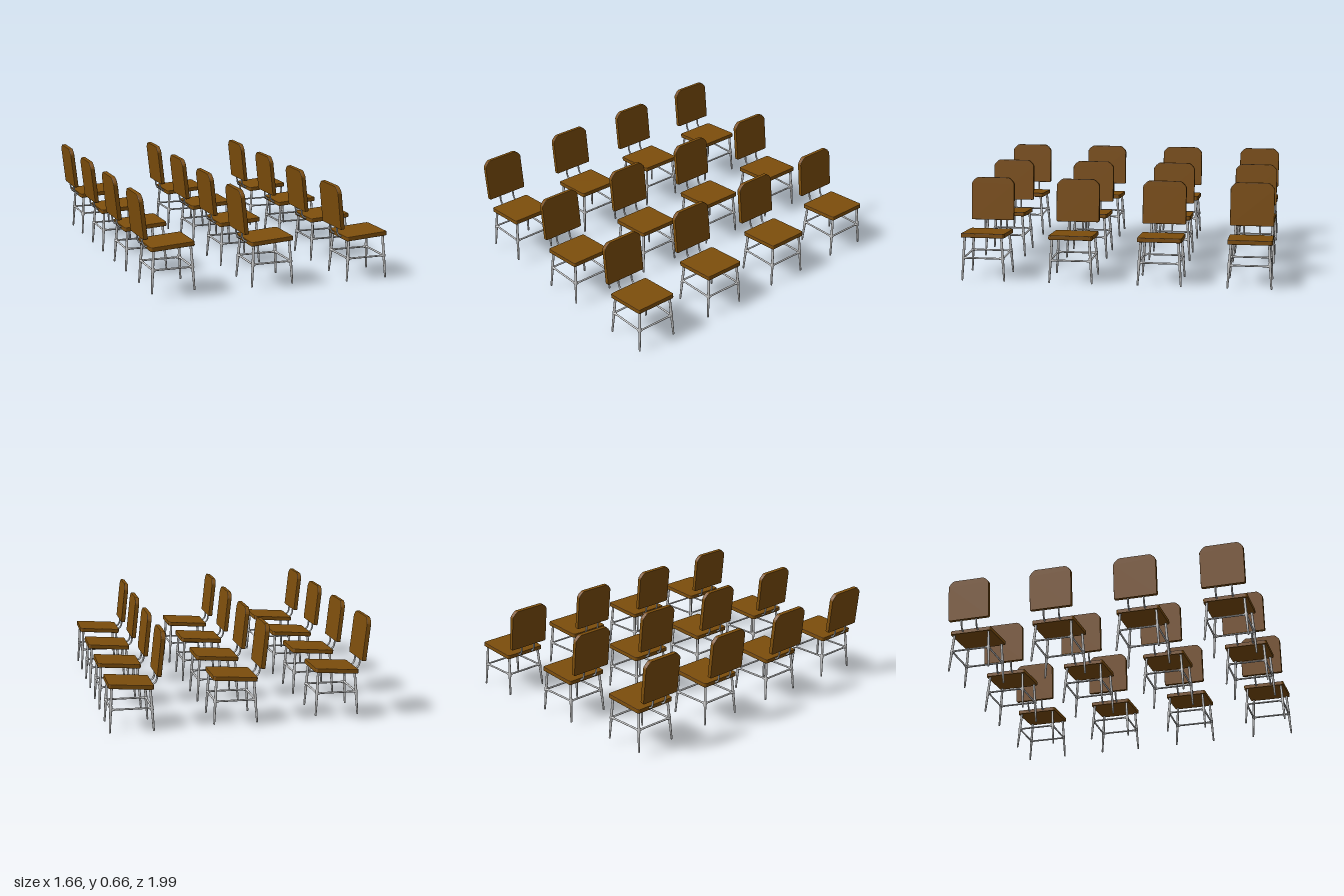
import * as THREE from 'three';

const wood = new THREE.MeshStandardMaterial({ color: 0x7d4e0c });
const metal = new THREE.MeshStandardMaterial({ color: 0xcccccc });

const THICK = 0.028, BEVEL = 0.004;

// Softly bevelled board; c = cut size of the lower and upper corners
function board(width, height, cLow, cHigh) {
  const w = width / 2 - BEVEL, h = height / 2 - BEVEL;
  const s = new THREE.Shape();
  s.moveTo(-w + cLow, -h);
  s.lineTo(w - cLow, -h);
  s.quadraticCurveTo(w, -h, w, -h + cLow);
  s.lineTo(w, h - cHigh);
  s.bezierCurveTo(w, h - cHigh * 0.75, w - cHigh * 0.75, h, w - cHigh, h);
  s.lineTo(-w + cHigh, h);
  s.bezierCurveTo(-w + cHigh * 0.75, h, -w, h - cHigh * 0.75, -w, h - cHigh);
  s.lineTo(-w, -h + cLow);
  s.quadraticCurveTo(-w, -h, -w + cLow, -h);
  const depth = THICK - 2 * BEVEL;
  const g = new THREE.ExtrudeGeometry(s, {
    depth, bevelThickness: BEVEL, bevelSize: BEVEL, bevelSegments: 2, curveSegments: 4,
  });
  return g.translate(0, 0, -depth / 2);
}

// Turned rod from a to b; profile is [radius, fraction along the length]
function rod(profile, a, b) {
  const dir = b.clone().sub(a), len = dir.length();
  const g = new THREE.LatheGeometry(profile.map(([r, t]) => new THREE.Vector2(r, t * len)), 12);
  const q = new THREE.Quaternion().setFromUnitVectors(new THREE.Vector3(0, 1, 0), dir.normalize());
  return g.applyQuaternion(q).translate(a.x, a.y, a.z);
}

const legProfile = [[0, 0], [0.004, 0.003], [0.006, 0.015], [0.0075, 0.3], [0.0085, 0.46],
  [0.0105, 0.5], [0.0105, 0.56], [0.0085, 0.6], [0.008, 1]];
const barProfile = [[0.0095, 0.02], [0.009, 0.05], [0.006, 0.1], [0.006, 0.9], [0.009, 0.95], [0.0095, 0.98]];

const TILT = THREE.MathUtils.degToRad(4);
const SEAT_Y = 0.286, BAR_Y = 0.147;

// List of [name, geometry, material] shared by every chair
function chairParts() {
  const parts = [];

  // Seat, rising towards the front edge
  const seat = board(0.283, 0.283, 0.01, 0.01).rotateX(-Math.PI / 2).rotateZ(TILT).translate(0, SEAT_Y, 0);
  parts.push(['seat', seat, wood]);

  // Backrest with clipped top corners, leaning back
  const back = board(0.284, 0.28, 0.006, 0.038).rotateY(Math.PI / 2)
    .rotateZ(THREE.MathUtils.degToRad(6.3)).translate(-0.188, 0.481, 0);
  parts.push(['backrest', back, wood]);

  // Splayed legs, remembering where the stretchers meet them
  const corners = [[1, 1], [1, -1], [-1, -1], [-1, 1]];
  const joints = corners.map(([sx, sz]) => {
    const foot = new THREE.Vector3(sx * 0.137, 0, sz * 0.138);
    const top = new THREE.Vector3(sx * 0.119, SEAT_Y - 0.006 + sx * 0.119 * Math.tan(TILT), sz * 0.119);
    parts.push([sx > 0 ? 'frontLeg' : 'backLeg', rod(legProfile, foot, top), metal]);
    return foot.clone().lerp(top, BAR_Y / top.y);
  });

  // Four stretchers joining neighbouring legs
  joints.forEach((j, i) => parts.push(['stretcher', rod(barProfile, j, joints[(i + 1) % 4]), metal]));

  // Bent tubes carrying the backrest
  for (const z of [-0.052, 0.052]) {
    const path = new THREE.CatmullRomCurve3([
      [-0.178, 0.38], [-0.173, 0.335], [-0.169, 0.305], [-0.156, 0.284], [-0.135, 0.277], [-0.1, 0.279],
    ].map(([x, y]) => new THREE.Vector3(x, y, z)));
    parts.push(['backSupport', new THREE.TubeGeometry(path, 16, 0.006, 8), metal]);
  }
  return parts;
}

export function createModel() {
  const model = new THREE.Group();
  model.name = 'seatingRows';
  const parts = chairParts();

  // Three rows stepping up towards the back, four chairs in each
  for (let row = 0; row < 3; row++) {
    for (let col = 0; col < 4; col++) {
      const chair = new THREE.Group();
      chair.name = 'chair';
      for (const [name, geometry, material] of parts) {
        const mesh = new THREE.Mesh(geometry, material);
        mesh.name = name;
        chair.add(mesh);
      }
      chair.position.set(0.687 - row * 0.652, row * 0.02, (col - 1.5) * 0.568);
      model.add(chair);
    }
  }
  return model;
}
